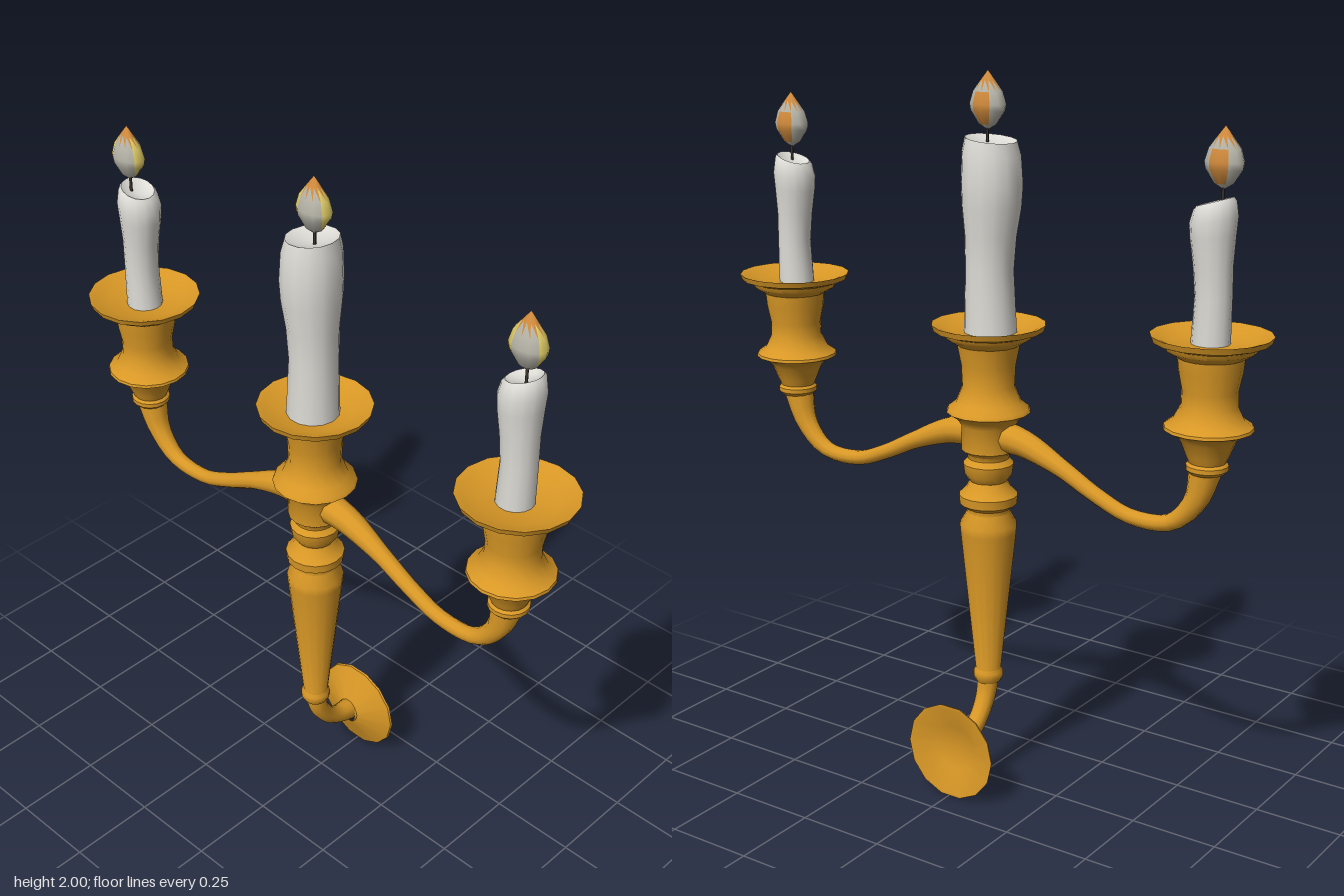
import * as THREE from 'three';
import { toCreasedNormals } from 'three/addons/utils/BufferGeometryUtils.js';

const CX = -0.02; // axis of the stem and arms
const mat = (name, color) => Object.assign(new THREE.MeshStandardMaterial({ color }), { name });

// turned part from [radius, height] pairs, listed from the bottom up
const turned = (pts, sides = 16) =>
  new THREE.LatheGeometry(pts.map(([r, y]) => new THREE.Vector2(r, y)), sides);

// round tube along points, with a radius that changes along its length
function taperedTube(points, radii, segments = 22, sides = 10) {
  const curve = new THREE.CatmullRomCurve3(points.map((p) => new THREE.Vector3(...p)));
  const geo = new THREE.TubeGeometry(curve, segments, 1, sides);
  const pos = geo.attributes.position;
  const v = new THREE.Vector3();
  for (let i = 0; i <= segments; i++) {
    const t = i / segments;
    const c = curve.getPointAt(t);
    const k = Math.min(Math.floor(t * (radii.length - 1)), radii.length - 2);
    const r = THREE.MathUtils.lerp(radii[k], radii[k + 1], t * (radii.length - 1) - k);
    for (let j = 0; j <= sides; j++) {
      const n = i * (sides + 1) + j;
      v.fromBufferAttribute(pos, n).sub(c).multiplyScalar(r).add(c);
      pos.setXYZ(n, v.x, v.y, v.z);
    }
  }
  return geo;
}

// soft wax body with a tilted, slightly hollow top
function candleGeometry(profile, height, tilt) {
  const geo = turned(profile, 14);
  const pos = geo.attributes.position;
  for (let i = 0; i < pos.count; i++) {
    const y = pos.getY(i);
    const z = pos.getZ(i);
    const t = y / height;
    pos.setY(i, y + tilt * z * t ** 4);
    pos.setZ(i, z + 0.004 * Math.sign(tilt) * Math.sin(t * 6));
  }
  return toCreasedNormals(geo, 0.8);
}

// teardrop whose faces are sorted into colour groups: 0 pale, 1 yellow, 2 orange
function flameGeometry() {
  const geo = turned([[0, 0], [0.026, 0.015], [0.05, 0.05], [0.053, 0.068],
    [0.043, 0.1], [0.02, 0.13], [0, 0.155]], 12).toNonIndexed();
  geo.scale(0.69, 1, 1);
  const pos = geo.attributes.position;
  for (let f = 0; f < pos.count; f += 3) {
    let x = 0, y = 0, z = 0;
    for (let k = f; k < f + 3; k++) {
      x += pos.getX(k) / 3;
      y += pos.getY(k) / 3;
      z += pos.getZ(k) / 3;
    }
    const a = Math.atan2(z, x / 0.69);
    let colour = 0;
    if (y > 0.118) colour = 2;
    else if (Math.abs(a) < 0.5 && y > 0.02 && y < 0.1) colour = 2;
    else if (a > 1.05 && a < 2.1 && y > 0.03) colour = 1;
    else if (a < -2.1 && a > -2.6 && y > 0.05) colour = 1;
    geo.addGroup(f, 3, colour);
  }
  return geo;
}

export function createModel() {
  const gold = mat('gold', 0xd99826);
  const wax = mat('wax', 0xdedcd6);
  const pale = mat('paleFlame', 0xb6b4a8);
  const yellow = mat('yellowFlame', 0xe0cc66);
  const orange = mat('orangeFlame', 0xd08a3c);
  const dark = mat('wick', 0x3a332c);

  const model = new THREE.Group();
  const add = (name, geo, material, x = 0, y = 0, z = 0, parent = model) => {
    const mesh = new THREE.Mesh(geo, material);
    mesh.name = name;
    mesh.position.set(x, y, z);
    parent.add(mesh);
    return mesh;
  };

  // central turned stem with its drip dish
  add('stem', toCreasedNormals(turned([
    [0, 0.285], [0.034, 0.29], [0.042, 0.305], [0.042, 0.32], [0.036, 0.33],
    [0.078, 0.74], [0.08, 0.765], [0.06, 0.8], [0.062, 0.812], [0.08, 0.825],
    [0.082, 0.85], [0.062, 0.87], [0.052, 0.89], [0.066, 0.91], [0.07, 0.94],
    [0.057, 0.955], [0.06, 0.968], [0.075, 0.98], [0.075, 1.05], [0.088, 1.07],
    [0.116, 1.088], [0.112, 1.098], [0.09, 1.115], [0.072, 1.16], [0.075, 1.22],
    [0.086, 1.275], [0.115, 1.293], [0.12, 1.305], [0.15, 1.315], [0.156, 1.332],
    [0.14, 1.327], [0.1, 1.31], [0, 1.308]]), 0.7), gold, CX, 0, -0.004);

  // hook and wall plate
  add('wallHook', taperedTube(
    [[CX, 0.31, 0], [-0.008, 0.25, 0], [0.025, 0.195, 0], [0.07, 0.16, 0], [0.13, 0.147, 0]],
    [0.032, 0.028, 0.026, 0.027, 0.034]), gold, 0, 0, -0.004);
  const plate = turned([[0.033, 0.115], [0.037, 0.122], [0.138, 0.163], [0.14, 0.169],
    [0.132, 0.169], [0.066, 0.142], [0, 0.136]], 14);
  plate.rotateZ(-Math.PI / 2);
  add('wallPlate', toCreasedNormals(plate, 0.55), gold, 0, 0.14, -0.004);

  // candle with wick and flame
  const addCandle = (parent, profile, base, height, z, tilt, flameY, flameZ) => {
    add('candle', candleGeometry(profile, height, tilt), wax, CX - 0.003, base, z, parent);
    add('wick', new THREE.CylinderGeometry(0.004, 0.004, 0.06, 6), dark,
      -0.034, flameY - 0.008, flameZ, parent);
    add('flame', flameGeometry(), [pale, yellow, orange], -0.036, flameY, flameZ, parent);
  };
  addCandle(model, [[0.072, 0], [0.066, 0.17], [0.07, 0.26], [0.08, 0.34], [0.083, 0.4],
    [0.079, 0.48], [0.07, 0.517], [0.055, 0.51], [0, 0.5]], 1.308, 0.517, -0.008, 0.1, 1.845, 0.01);

  // side arms, mirrored front to back
  const cup = toCreasedNormals(turned([
    [0, 1.03], [0.045, 1.033], [0.055, 1.043], [0.055, 1.055], [0.048, 1.062],
    [0.056, 1.08], [0.072, 1.12], [0.085, 1.135], [0.116, 1.15], [0.114, 1.158],
    [0.09, 1.175], [0.073, 1.21], [0.072, 1.25], [0.082, 1.3], [0.085, 1.335],
    [0.115, 1.353], [0.12, 1.366], [0.15, 1.376], [0.156, 1.392],
    [0.14, 1.387], [0.1, 1.37], [0, 1.367]]), 0.7);
  for (const s of [1, -1]) {
    const branch = new THREE.Group();
    branch.name = s > 0 ? 'frontBranch' : 'backBranch';
    model.add(branch);
    add('arm', taperedTube(
      [[0.03, 1.025], [0.12, 1.013], [0.24, 0.965], [0.35, 0.91], [0.455, 0.872],
        [0.575, 0.88], [0.645, 0.95], [0.673, 1.05]].map(([z, y]) => [CX, y, z * s]),
      [0.045, 0.036, 0.025, 0.022, 0.021, 0.022, 0.03, 0.045], 26), gold, 0, 0, 0, branch);
    add('candleCup', cup, gold, CX, 0, 0.675 * s, branch);
    addCandle(branch, [[0.05, 0], [0.047, 0.12], [0.05, 0.2], [0.057, 0.27], [0.06, 0.31],
      [0.053, 0.345], [0.045, 0.355], [0.034, 0.347], [0, 0.34]],
    1.367, 0.355, 0.67 * s, 0.3 * s, 1.75, 0.683 * s);
  }
  return model;
}
